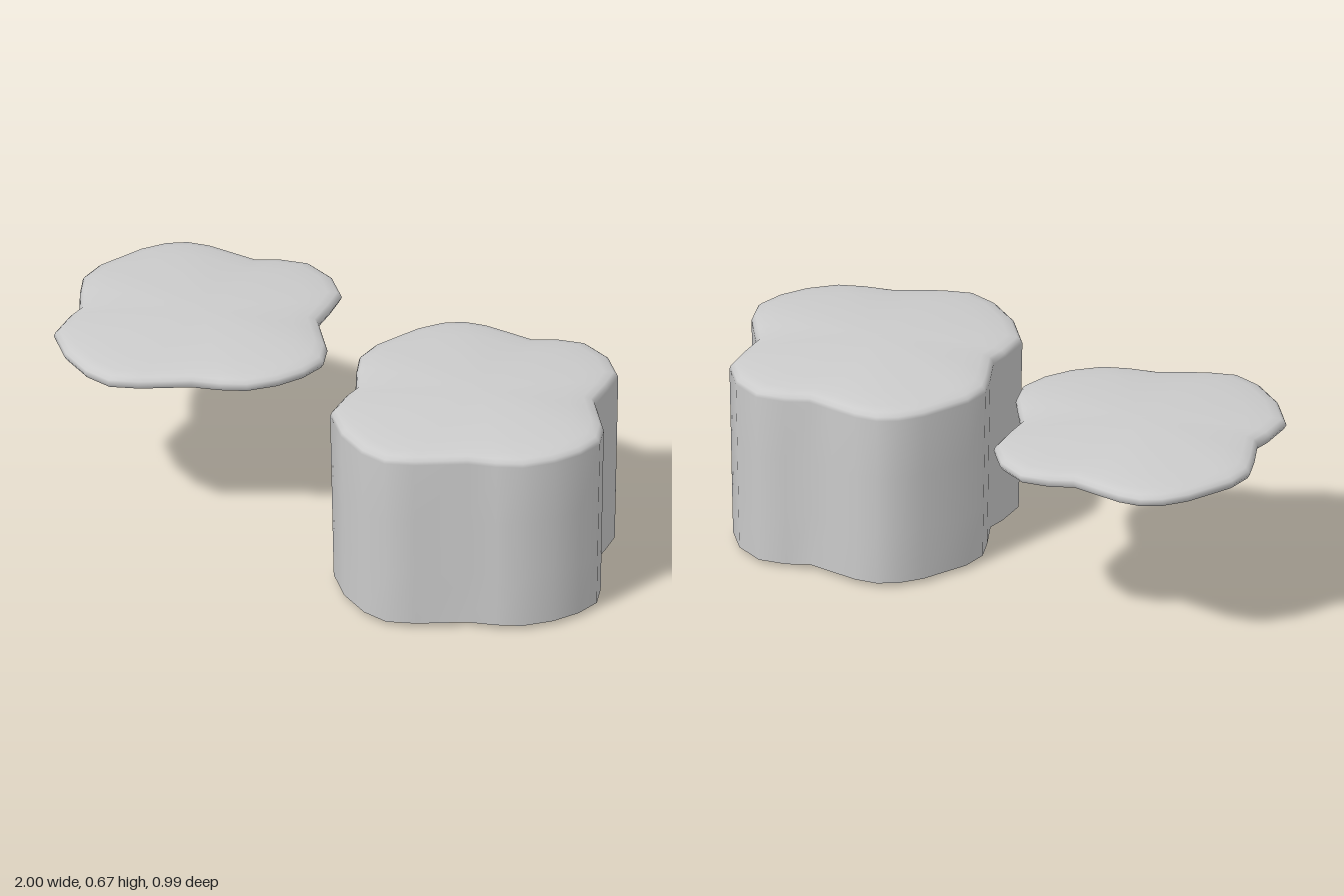
import * as THREE from 'three';
import { mergeVertices } from 'three/addons/utils/BufferGeometryUtils.js';

// Irregular outline [x, z] around the part's own centre, back -> left -> front -> right
const OUTLINE = [
  [0.125, -0.5], [0.23, -0.46], [0.31, -0.38], [0.325, -0.29], [0.335, -0.187], [0.39, -0.12],
  [0.445, -0.053], [0.478, 0.03], [0.46, 0.12], [0.413, 0.21], [0.34, 0.29], [0.26, 0.33],
  [0.17, 0.36], [0.023, 0.455], [-0.068, 0.494], [-0.164, 0.476], [-0.28, 0.41], [-0.378, 0.31],
  [-0.389, 0.198], [-0.384, 0.134], [-0.443, 0.027], [-0.479, -0.053], [-0.474, -0.144],
  [-0.41, -0.305], [-0.357, -0.38], [-0.298, -0.422], [-0.223, -0.438], [-0.13, -0.436],
  [-0.04, -0.433], [0.03, -0.475],
];

// Gently domed top shared by both parts: [outline scale, height]
const DOME = [[1, 0.615], [0.99, 0.627], [0.965, 0.638], [0.9, 0.646], [0.75, 0.655], [0.5, 0.664], [0.25, 0.669], [0, 0.67]];

// Skin scaled copies of the outline, smooth within one shell
function shell(rings) {
  const n = OUTLINE.length;
  const positions = [];
  const index = [];
  for (const [s, y] of rings) for (const [x, z] of OUTLINE) positions.push(x * s, y, z * s);
  for (let r = 0; r < rings.length - 1; r++) {
    for (let j = 0; j < n; j++) {
      const a = r * n + j, b = r * n + (j + 1) % n, c = a + n, d = b + n;
      if (rings[r][0] > 0) index.push(a, c, b);
      if (rings[r + 1][0] > 0) index.push(b, c, d);
    }
  }
  let geometry = new THREE.BufferGeometry();
  geometry.setAttribute('position', new THREE.Float32BufferAttribute(positions, 3));
  geometry.setIndex(index);
  geometry = mergeVertices(geometry);
  geometry.computeVertexNormals();
  return geometry;
}

export function createModel() {
  const model = new THREE.Group();
  const material = new THREE.MeshStandardMaterial({ color: 0xcccccc });

  const addPart = (name, x, shells) => {
    const part = new THREE.Group();
    part.name = name;
    part.position.x = x;
    for (const [meshName, rings] of Object.entries(shells)) {
      const mesh = new THREE.Mesh(shell(rings), material);
      mesh.name = meshName;
      part.add(mesh);
    }
    model.add(part);
  };

  // Thin floating slab
  addPart('thinSlab', -0.521, {
    slabTop: [[0.98, 0.6], ...DOME],
    slabUnderside: [[0, 0.6], [0.98, 0.6]],
  });

  // Tall block with slightly tapering walls
  addPart('tallBlock', 0.522, {
    blockWallsAndTop: [[0.975, 0.014], [0.983, 0.2], [0.991, 0.4], ...DOME],
    blockUnderside: [[0, 0], [0.6, 0.001], [0.92, 0.005], [0.975, 0.014]],
  });

  return model;
}
